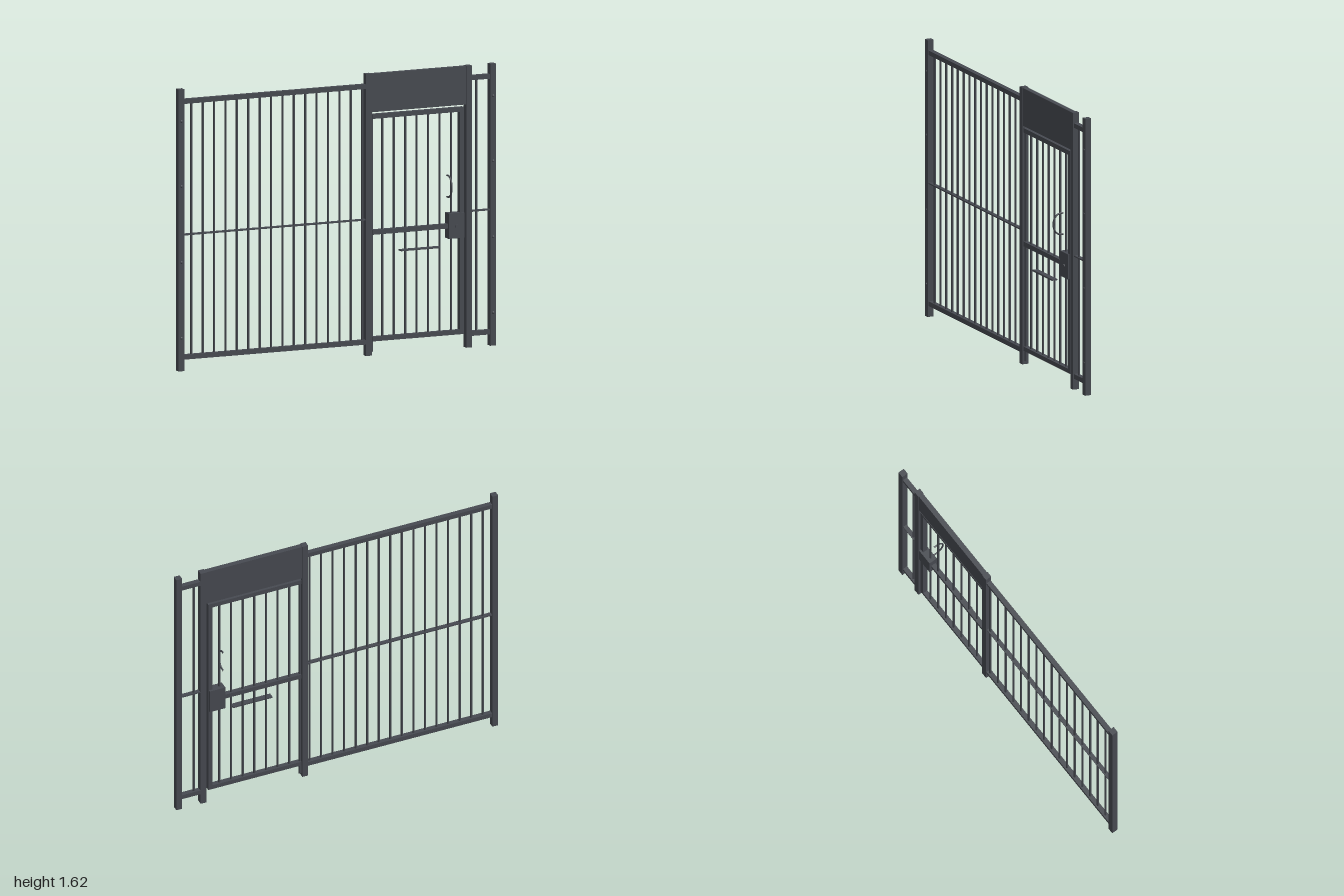
import * as THREE from 'three';

export function createModel() {
  const model = new THREE.Group();
  const steel = new THREE.MeshStandardMaterial({ color: 0x474a51 });
  steel.name = 'graphite grey steel';
  const MID = -0.0225; // shared centre plane of the fence

  const add = (parent, name, geometry, x = 0, y = 0, z = 0) => {
    const mesh = new THREE.Mesh(geometry, steel);
    mesh.name = name;
    mesh.position.set(x, y, z);
    parent.add(mesh);
    return mesh;
  };
  // Box given by its extents on each axis
  const box = (parent, name, x0, x1, y0, y1, z0, z1) =>
    add(parent, name, new THREE.BoxGeometry(x1 - x0, y1 - y0, z1 - z0),
      (x0 + x1) / 2, (y0 + y1) / 2, (z0 + z1) / 2);
  const rail = (parent, name, x0, x1, y0, y1, depth = 0.029) =>
    box(parent, name, x0, x1, y0, y1, MID - depth / 2, MID + depth / 2);
  const bars = (parent, count, first, step, y0, y1) => {
    const geometry = new THREE.CylinderGeometry(0.0065, 0.0065, y1 - y0, 12);
    for (let i = 0; i < count; i++)
      add(parent, 'bar', geometry, first + i * step, (y0 + y1) / 2, MID);
  };
  const group = (name) => {
    const g = new THREE.Group();
    g.name = name;
    model.add(g);
    return g;
  };

  // Square posts
  const posts = group('posts');
  for (const x of [-0.982, 0.199, 0.831, 0.982])
    rail(posts, 'post', x - 0.018, x + 0.018, 0, 1.625, 0.037);

  // Domed bolt heads on the two end posts
  const boltGeometry = new THREE.SphereGeometry(0.008, 12, 6, 0, Math.PI * 2, 0, Math.PI / 2);
  for (const x of [-0.982, 0.982])
    for (const y of [0.19, 0.627, 1.065, 1.44]) {
      const bolt = add(posts, 'bolt', boltGeometry, x, y, -0.004);
      bolt.rotation.x = Math.PI / 2;
      bolt.scale.y = 0.6;
    }

  // Fixed fence panels either side of the door
  const panel = (name, x0, x1, count, first) => {
    const g = group(name);
    rail(g, 'topRail', x0, x1, 1.539, 1.566);
    rail(g, 'bottomRail', x0, x1, 0.065, 0.092);
    rail(g, 'middleFlatBar', x0, x1, 0.780, 0.788, 0.025);
    bars(g, count, first, 0.0718, 0.08, 1.55);
  };
  panel('widePanel', -0.965, 0.182, 16, -0.912);
  panel('narrowPanel', 0.848, 0.965, 1, 0.884);

  // Solid panel above the door
  rail(model, 'headerPanel', 0.216, 0.814, 1.402, 1.623, 0.03);

  // Door leaf
  const door = group('door');
  rail(door, 'doorTopRail', 0.222, 0.80, 1.363, 1.389);
  rail(door, 'doorBottomRail', 0.222, 0.80, 0.08, 0.106);
  rail(door, 'lockStile', 0.774, 0.80, 0.08, 1.389);
  rail(door, 'doorMiddleRail', 0.222, 0.705, 0.695, 0.722);
  add(door, 'hingeRod', new THREE.CylinderGeometry(0.0075, 0.0075, 1.369, 16), 0.2245, 0.7045, MID);
  add(door, 'hingeFoot', new THREE.CylinderGeometry(0.009, 0.009, 0.06, 16), 0.2245, 0.05, MID);
  bars(door, 7, 0.291, 0.0723, 0.09, 1.375);

  // Lock box with a round cylinder on each face
  box(door, 'lockBox', 0.699, 0.796, 0.637, 0.783, -0.049, 0.003);
  const lockCylinder = add(door, 'lockCylinder',
    new THREE.CylinderGeometry(0.01, 0.01, 0.006, 16), 0.748, 0.706, 0.005);
  lockCylinder.rotation.x = Math.PI / 2;

  // Flat letter shelf
  box(door, 'shelf', 0.39, 0.635, 0.592, 0.600, -0.012, 0.022);

  // Bow pull handle
  const points = [];
  for (let i = 0; i <= 12; i++) {
    const a = -Math.PI / 2 + (Math.PI * i) / 12;
    points.push(new THREE.Vector3(0, 0.94 + 0.062 * Math.sin(a), -0.003 + 0.048 * Math.cos(a)));
  }
  points.unshift(new THREE.Vector3(0, 0.878, -0.018));
  points.push(new THREE.Vector3(0, 1.002, -0.018));
  add(door, 'pullHandle',
    new THREE.TubeGeometry(new THREE.CatmullRomCurve3(points), 40, 0.005, 10), 0.697);

  return model;
}
